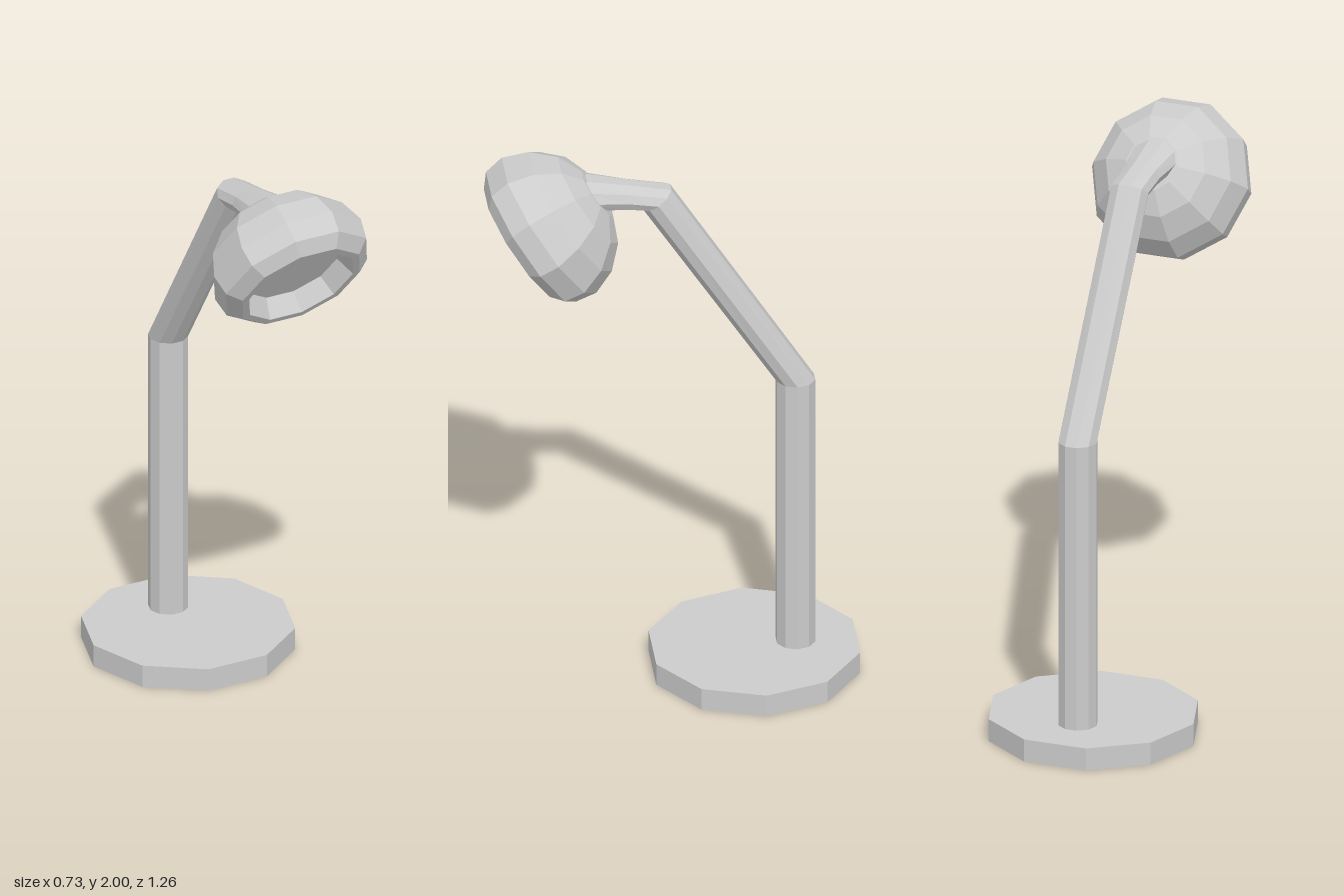
import * as THREE from 'three';

const SIDES = 10;

// Ten-sided tube through rings given as [topZ, topY, bottomZ, bottomY, halfWidth]
function loftTube(rings) {
  const pos = [], index = [];
  for (const [az, ay, bz, by, w] of rings) {
    for (let j = 0; j < SIDES; j++) {
      const t = (j / SIDES) * Math.PI * 2;
      const s = Math.sin(t) / Math.sin(Math.PI * 0.4) / 2;
      pos.push(w * Math.cos(t), (ay + by) / 2 + (ay - by) * s, (az + bz) / 2 + (az - bz) * s);
    }
  }
  for (let i = 0; i < rings.length - 1; i++) {
    for (let j = 0; j < SIDES; j++) {
      const k = (j + 1) % SIDES, a = i * SIDES, b = a + SIDES;
      index.push(a + j, a + k, b + k, a + j, b + k, b + j);
    }
  }
  // End caps
  const last = (rings.length - 1) * SIDES;
  for (let j = 1; j < SIDES - 1; j++) {
    index.push(0, j + 1, j, last, last + j, last + j + 1);
  }
  const geo = new THREE.BufferGeometry();
  geo.setAttribute('position', new THREE.Float32BufferAttribute(pos, 3));
  geo.setIndex(index);
  geo.computeVertexNormals();
  return geo;
}

export function createModel() {
  const group = new THREE.Group();
  group.name = 'deskLamp';
  const material = new THREE.MeshStandardMaterial({ color: 0xcccccc, flatShading: true });
  const add = (name, geometry) => {
    const mesh = new THREE.Mesh(geometry, material);
    mesh.name = name;
    group.add(mesh);
    return mesh;
  };

  // Flat base plate
  add('base', new THREE.CylinderGeometry(0.365, 0.365, 0.08, SIDES, 1, false, Math.PI / 2))
    .position.set(0, 0.04, -0.285);

  // Upright post, bent arm and flared neck in one tube
  add('arm', loftTube([
    [-0.49, 0.05, -0.36, 0.05, 0.068],
    [-0.49, 1.105, -0.36, 1.105, 0.068],
    [0, 1.88, 0.096, 1.81, 0.068],
    [0.145, 1.908, 0.155, 1.815, 0.068],
    [0.29, 1.936, 0.29, 1.826, 0.09],
  ]));

  // Rounded shade with a lip and a shallow recess, tilted forward and down
  const profile = [
    [0, -0.325], [0.095, -0.312], [0.181, -0.273], [0.25, -0.2], [0.284, -0.113],
    [0.272, -0.04], [0.226, 0], [0.2, 0], [0.17, -0.07], [0, -0.07],
  ].map(([r, y]) => new THREE.Vector2(r, y));
  const shade = add('shade', new THREE.LatheGeometry(profile, SIDES, Math.PI / 2));
  shade.position.set(0, 1.695, 0.508);
  shade.rotation.x = 2.165;

  return group;
}
